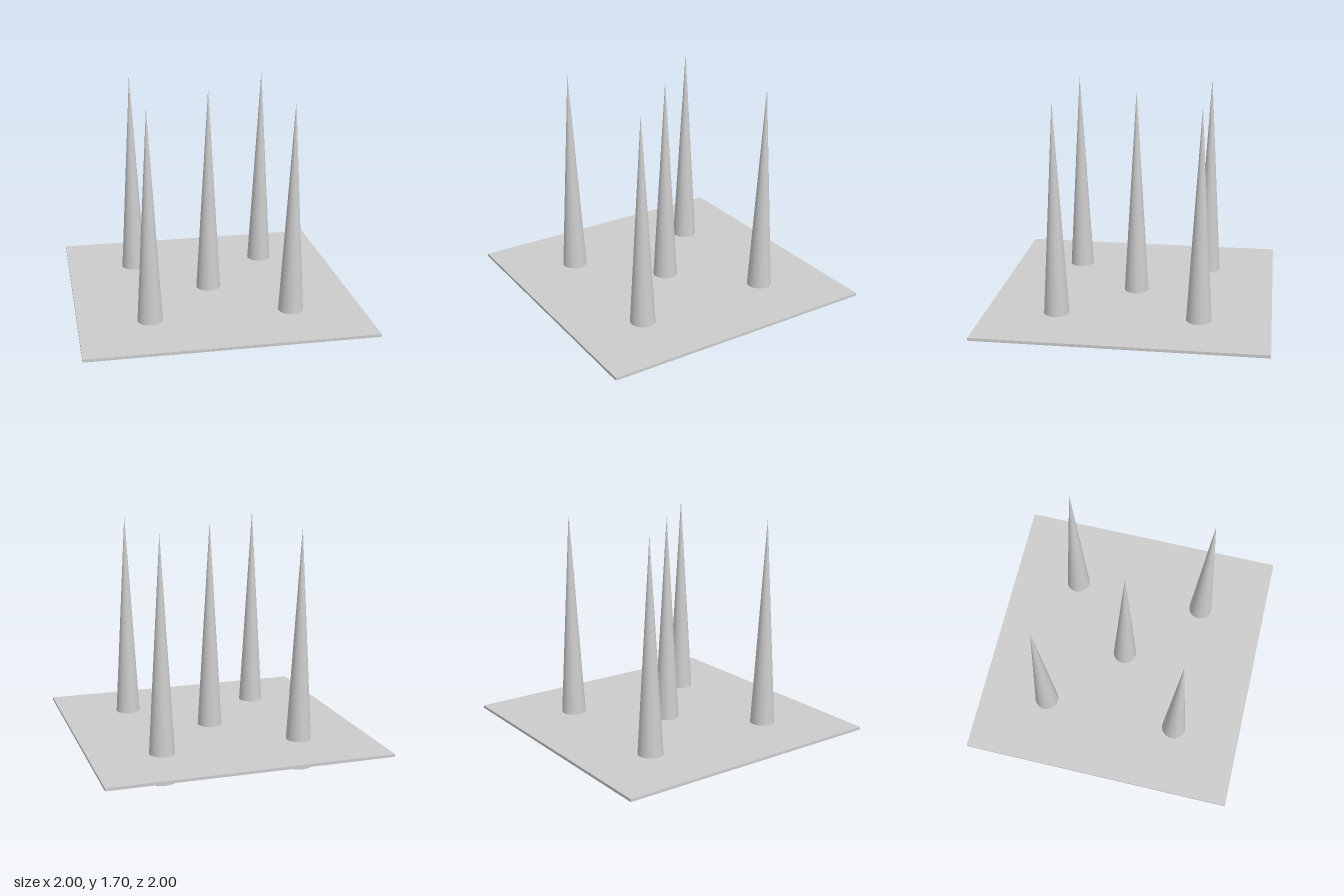
import * as THREE from 'three';

export function createModel() {
  const model = new THREE.Group();
  const material = new THREE.MeshStandardMaterial({ color: 0xcccccc });

  // Thin square plate
  const plate = new THREE.Mesh(new THREE.BoxGeometry(2, 0.02, 2), material);
  plate.name = 'plate';
  plate.position.y = 0.19;
  model.add(plate);

  // Tall spikes passing through the plate: one central, four around it
  const height = 1.7;
  const spikeGeometry = new THREE.ConeGeometry(0.1, height, 32);
  const spikes = [
    ['centreSpike', 0, 0],
    ['frontLeftSpike', 0.5, 0.5],
    ['frontRightSpike', -0.5, 0.5],
    ['backLeftSpike', 0.5, -0.5],
    ['backRightSpike', -0.5, -0.5],
  ];
  for (const [name, x, z] of spikes) {
    const spike = new THREE.Mesh(spikeGeometry, material);
    spike.name = name;
    spike.position.set(x, height / 2, z);
    model.add(spike);
  }

  return model;
}
